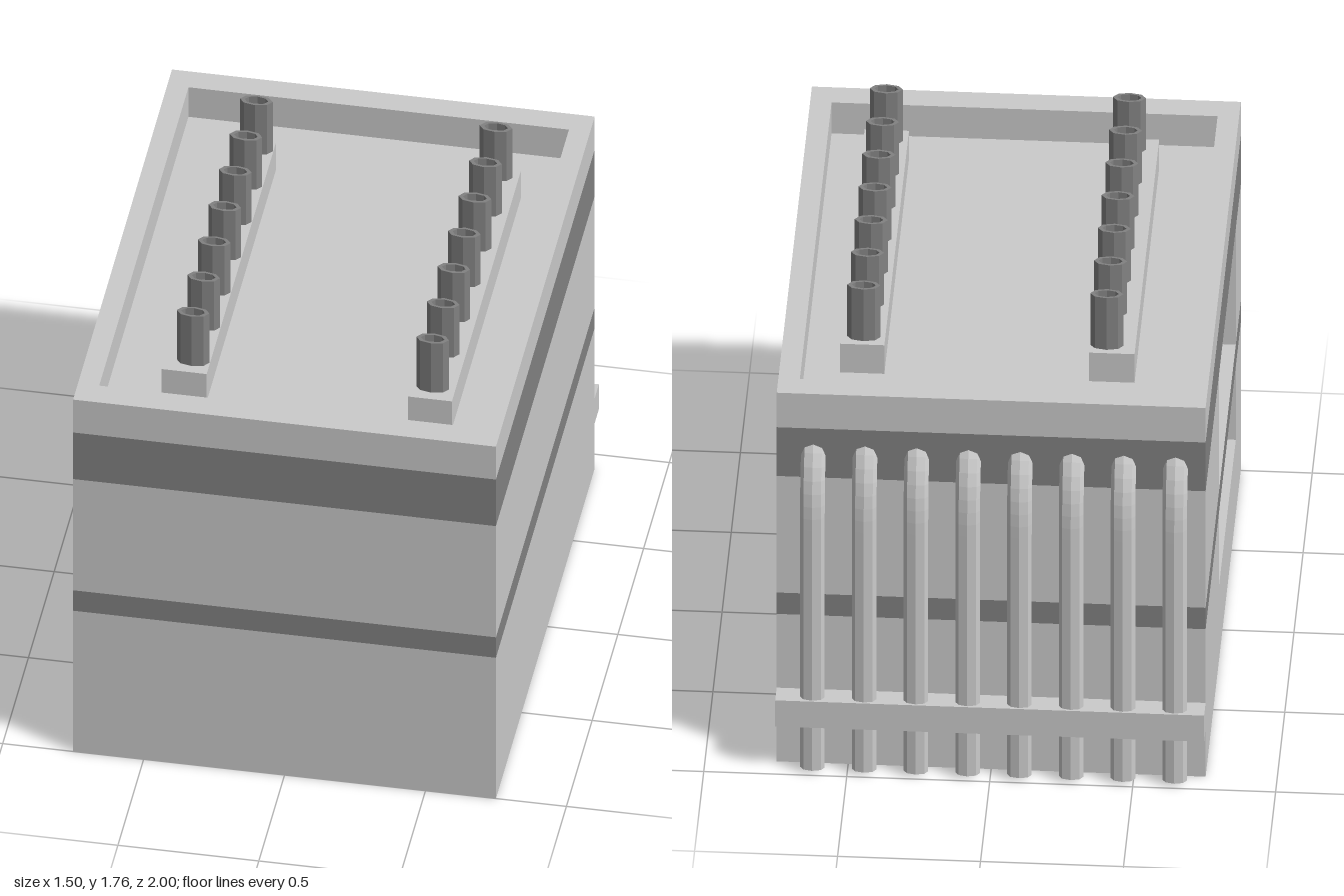
import * as THREE from 'three';

const grey = new THREE.MeshStandardMaterial({ color: 0xcccccc, flatShading: true });
const dark = new THREE.MeshStandardMaterial({ color: 0x828282, flatShading: true });

// Outer footprint, inner well and side window, as x / z limits
const OUT = { x: 0.75, back: -0.92, front: 1 };
const WELL = { x: 0.675, back: -0.83, front: 0.905 };
const WINDOW = { back: -0.19, front: 0.73 };

function add(parent, name, geometry, material, x = 0, y = 0, z = 0) {
  const mesh = new THREE.Mesh(geometry, material);
  mesh.name = name;
  mesh.position.set(x, y, z);
  parent.add(mesh);
  return mesh;
}

// Box given by its limits
function block(parent, name, [x0, x1], [y0, y1], [z0, z1], material = grey) {
  return add(parent, name, new THREE.BoxGeometry(x1 - x0, y1 - y0, z1 - z0), material,
    (x0 + x1) / 2, (y0 + y1) / 2, (z0 + z1) / 2);
}

// Corner list in x, z turned into shape points
const plan = (pts) => pts.map(([x, z]) => new THREE.Vector2(x, -z));
const corners = (r) => [[-r.x, r.front], [r.x, r.front], [r.x, r.back], [-r.x, r.back]];

// One horizontal course of the casing wall, closed or cut by the window
function course(parent, name, y0, y1, material, cut) {
  let shape;
  if (cut) {
    shape = new THREE.Shape(plan([
      [-OUT.x, WINDOW.front], ...corners(OUT), [-OUT.x, WINDOW.back],
      [-WELL.x, WINDOW.back], ...corners(WELL).reverse(), [-WELL.x, WINDOW.front],
    ]));
  } else {
    shape = new THREE.Shape(plan(corners(OUT)));
    shape.holes.push(new THREE.Path(plan(corners(WELL))));
  }
  const geo = new THREE.ExtrudeGeometry(shape, { depth: y1 - y0, bevelEnabled: false });
  geo.rotateX(-Math.PI / 2);
  add(parent, name, geo, [grey, material], 0, y0, 0);
}

export function createModel() {
  const model = new THREE.Group();
  model.name = 'cabinet';

  // Casing walls with two dark bands and a side window split by the lower band
  const casing = new THREE.Group();
  casing.name = 'casing';
  model.add(casing);
  course(casing, 'baseWall', 0, 0.31, grey, false);
  course(casing, 'lowerWindowWall', 0.31, 0.62, grey, true);
  course(casing, 'lowerBand', 0.62, 0.71, dark, false);
  course(casing, 'upperWindowWall', 0.71, 1.2, grey, true);
  course(casing, 'upperBand', 1.2, 1.405, dark, false);
  course(casing, 'rim', 1.405, 1.55, grey, false);

  // Solid core: floor of the well and back of the window
  block(model, 'core', [-WELL.x, WELL.x], [0, 1.42], [WELL.back, WELL.front]);

  // Two rails, each with a row of flattened hollow terminals
  const profile = [[0.058, 0], [0.058, 0.22], [0.042, 0.22], [0.042, 0.19], [0, 0.19]]
    .map(([r, y]) => new THREE.Vector2(r, y));
  const terminalGeo = new THREE.LatheGeometry(profile, 8, Math.PI / 2);
  terminalGeo.scale(1, 1, 0.5);
  for (const [x0, x1, px] of [[-0.48, -0.32, -0.38], [0.395, 0.55, 0.47]]) {
    block(model, 'rail', [x0, x1], [1.42, 1.54], [-0.585, 0.76]);
    for (let i = 0; i < 7; i++) {
      add(model, 'terminal', terminalGeo, dark, px, 1.537, -0.535 + i * 0.205);
    }
  }

  // Flattened rear pipes that bend into the upper band
  const path = new THREE.CurvePath();
  const v = (y, z) => new THREE.Vector3(0, y, z);
  const bend = new THREE.CubicBezierCurve3(
    v(1.05, -0.97), v(1.19, -0.97), v(1.27, -0.94), v(1.34, -0.89));
  path.add(new THREE.LineCurve3(v(0.015, -0.97), v(1.05, -0.97)));
  path.add(bend);
  const pipeGeo = new THREE.TubeGeometry(path, 28, 0.024, 8);
  const capGeo = new THREE.CircleGeometry(0.024, 8);
  capGeo.rotateX(Math.PI / 2);
  for (let i = 0; i < 8; i++) {
    const pipe = new THREE.Group();
    pipe.name = 'pipe';
    pipe.position.x = -0.645 + i * 0.181;
    pipe.scale.x = 1.8;
    add(pipe, 'pipeWall', pipeGeo, grey);
    add(pipe, 'pipeEnd', capGeo, grey, 0, 0.015, -0.97);
    model.add(pipe);
  }

  // Bar clamping the pipes to the back
  block(model, 'pipeClamp', [-0.75, 0.75], [0.2, 0.31], [-1, -0.92]);

  return model;
}
